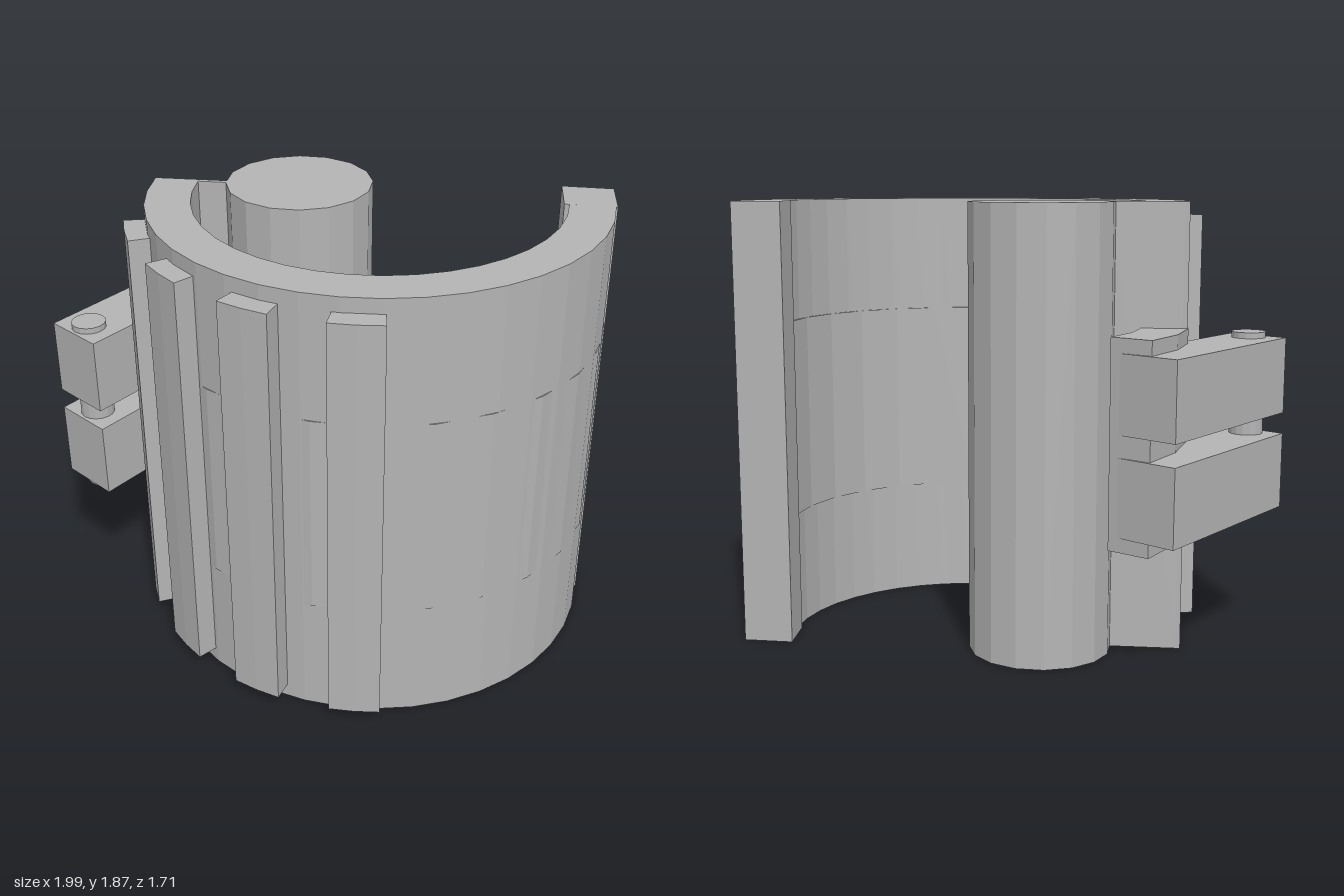
import * as THREE from 'three';

const CX = 0.06, CZ = -0.16; // centre of the curved shell, seen from above
const RAD = Math.PI / 180;

export function createModel() {
  const model = new THREE.Group();
  const grey = new THREE.MeshStandardMaterial({ color: 0xb4b4b4, flatShading: true });
  grey.name = 'plain grey';

  function add(name, geometry) {
    const mesh = new THREE.Mesh(geometry, grey);
    mesh.name = name;
    model.add(mesh);
    return mesh;
  }

  // Prism from a plan outline of [x, z] points between two heights
  function prism(name, outline, y0, y1) {
    const shape = new THREE.Shape(outline.map(([x, z]) => new THREE.Vector2(x, -z)));
    const geometry = new THREE.ExtrudeGeometry(shape, { depth: y1 - y0, bevelEnabled: false });
    geometry.rotateX(-Math.PI / 2).translate(0, y0, 0);
    return add(name, geometry);
  }

  // Outline of a ring sector; angles run from +x towards +z
  function sector(rIn, rOut, a0, a1, segments) {
    const outer = [], inner = [];
    for (let i = 0; i <= segments; i++) {
      const a = (a0 + (a1 - a0) * i / segments) * RAD;
      outer.push([CX + rOut * Math.cos(a), CZ + rOut * Math.sin(a)]);
      inner.unshift([CX + rIn * Math.cos(a), CZ + rIn * Math.sin(a)]);
    }
    return outer.concat(inner);
  }

  // Tall curved shell and the longer band around its middle
  prism('shell', sector(0.75, 0.932, -36, 148, 20), 0, 1.87);
  prism('middleBand', sector(0.746, 0.935, -36, 175.8, 15), 0.51, 1.36);

  // Square post closing the rear end of the shell
  prism('endPost', [[0.53, -0.74], [0.70, -0.86], [0.82, -0.71], [0.65, -0.59]], 0, 1.87);

  // Raised ribs on the outside of the shell
  for (const a of [52, 75.8, 99.7, 123.9]) {
    prism('rib', sector(0.9, 1.016, a - 5.85, a + 5.85, 2), 0.06, 1.81);
  }

  // Round column joined to the shell by a thin web
  const column = add('column', new THREE.CylinderGeometry(0.3, 0.3, 1.87, 16));
  column.position.set(-0.27, 0.935, -0.04);
  prism('web', [[-0.725, 0.332], [-0.47, 0.14], [-0.458, 0.156], [-0.713, 0.348]], 0, 1.87);

  // Two slanted hinge arms with a pin through them
  for (const y of [0.57, 0.98]) {
    prism('hingeArm', [[-1, -0.105], [-0.73, -0.105], [-0.645, 0.785], [-0.915, 0.785]], y, y + 0.32);
  }
  const pin = add('hingePin', new THREE.CylinderGeometry(0.072, 0.072, 0.78, 16));
  pin.position.set(-0.785, 0.935, 0.70);

  return model;
}
